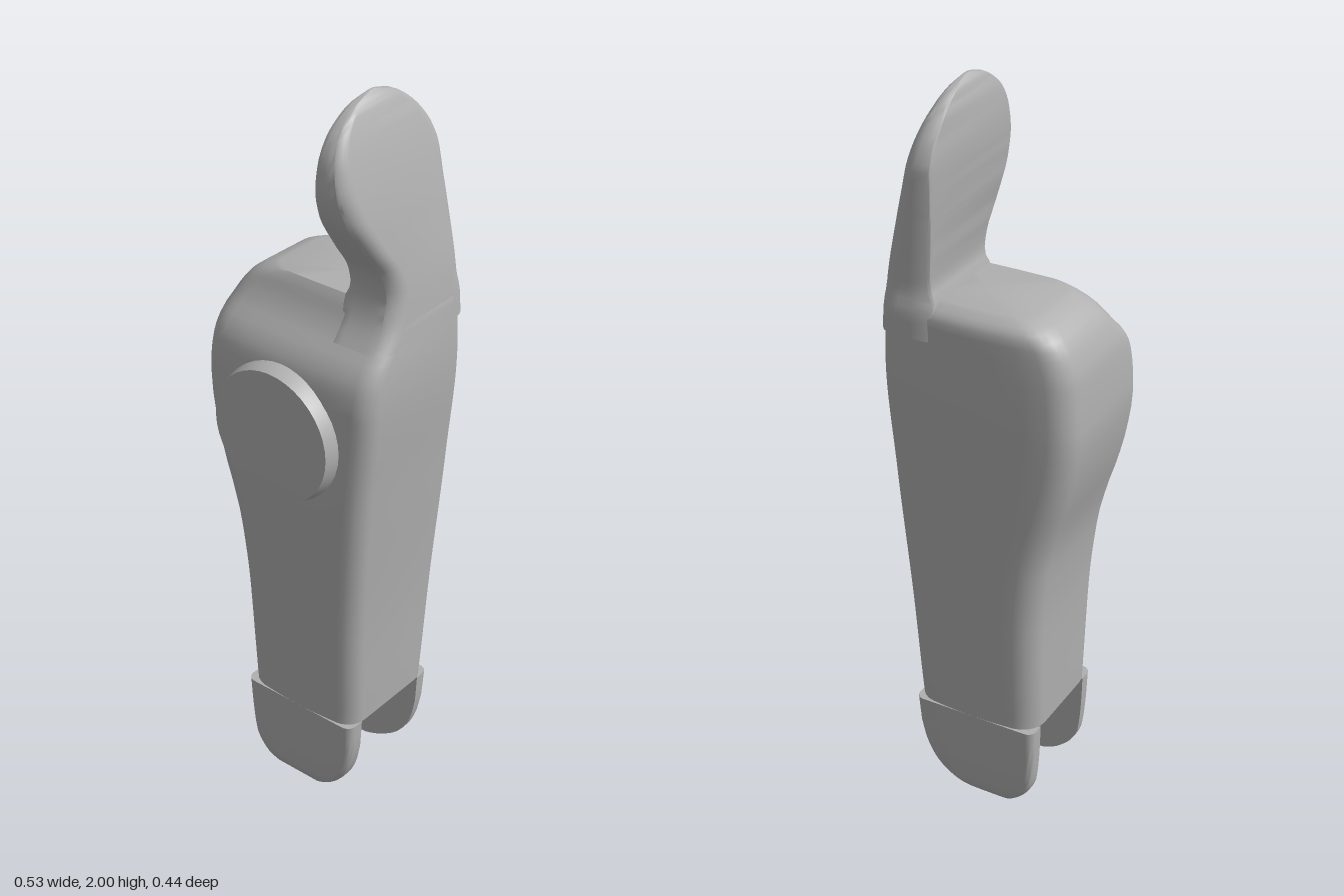
import * as THREE from 'three';
import { toCreasedNormals } from 'three/addons/utils/BufferGeometryUtils.js';

// Smooth interpolation through [y, value] pairs that never overshoots
function profile(p) {
  const slope = i => (p[i + 1][1] - p[i][1]) / (p[i + 1][0] - p[i][0]);
  const tangent = i => {
    if (i === 0) return slope(0);
    if (i === p.length - 1) return slope(i - 1);
    const a = slope(i - 1), b = slope(i);
    return a * b <= 0 ? 0 : 2 * a * b / (a + b);
  };
  return y => {
    let i = 0;
    while (i < p.length - 2 && y > p[i + 1][0]) i++;
    const h = p[i + 1][0] - p[i][0];
    const t = THREE.MathUtils.clamp((y - p[i][0]) / h, 0, 1), t2 = t * t, t3 = t2 * t;
    return p[i][1] * (2 * t3 - 3 * t2 + 1) + tangent(i) * h * (t3 - 2 * t2 + t)
      + p[i + 1][1] * (3 * t2 - 2 * t3) + tangent(i + 1) * h * (t3 - t2);
  };
}

// Outline of the whole shape as functions of height
const sideRight = profile([[0, -0.03], [0.01, -0.06], [0.03, -0.09], [0.06, -0.12], [0.1, -0.14],
  [0.2, -0.15], [0.6, -0.16], [0.8, -0.178], [0.9, -0.2], [1, -0.23], [1.1, -0.253], [1.2, -0.265],
  [1.35, -0.258], [1.42, -0.24], [1.46, -0.215], [1.49, -0.17], [1.5, -0.14]]);
const sideLeft = profile([[0, 0.03], [0.01, 0.06], [0.03, 0.1], [0.06, 0.14], [0.1, 0.17],
  [0.15, 0.19], [0.2, 0.2], [0.6, 0.217], [1, 0.245], [1.3, 0.265], [1.5, 0.255], [1.7, 0.22],
  [1.85, 0.183], [1.95, 0.152], [1.985, 0.138], [2, 0.128]]);
const front = profile([[0, 0.115], [0.02, 0.135], [0.05, 0.146], [0.2, 0.157], [0.6, 0.178],
  [1, 0.19], [1.25, 0.188], [1.32, 0.177], [1.37, 0.15], [1.41, 0.112], [1.47, 0.075], [1.53, 0.06],
  [1.58, 0.07], [1.65, 0.115], [1.75, 0.172], [1.81, 0.184], [1.87, 0.175], [1.92, 0.15],
  [1.96, 0.108], [1.985, 0.065], [2, 0.012]]);
const back = profile([[0, -0.135], [0.02, -0.152], [0.05, -0.16], [0.2, -0.172], [0.6, -0.2],
  [1, -0.217], [1.3, -0.222], [1.46, -0.22], [1.52, -0.208], [1.82, -0.203], [1.87, -0.188],
  [1.92, -0.155], [1.96, -0.11], [1.985, -0.065], [2, -0.012]]);
const finInner = profile([[1.3, 0.1], [1.5, 0.1], [1.53, 0.112], [1.75, 0.106], [1.93, 0.107],
  [1.98, 0.112], [2, 0.122]]);

// Corner radii run: front left, back left, back right, front right
function ring(y, x0, x1, z0, z1, radii, bulge) {
  const pts = [];
  const corners = [[x1, z1, -1, -1], [x1, z0, -1, 1], [x0, z0, 1, 1], [x0, z1, 1, -1]];
  const steps = 5;
  corners.forEach(([cx, cz, sx, sz], k) => {
    const r = Math.min(radii[k], (x1 - x0) * 0.49, (z1 - z0) * 0.49);
    for (let j = 0; j <= steps; j++) {
      const a = Math.PI / 2 * (1 - k) - Math.PI / 2 * j / steps;
      pts.push([cx + sx * r + r * Math.cos(a), cz + sz * r + r * Math.sin(a)]);
    }
    // Extra points along the broad back and front let them bow outwards
    if (k === 1 || k === 3) {
      for (let j = 1; j < 6; j++) {
        const t = k === 1 ? 1 - j / 6 : j / 6;
        pts.push([THREE.MathUtils.lerp(x0 + r, x1 - r, t), cz]);
      }
    }
  });
  return pts.map(([x, z]) => {
    const u = (2 * x - x0 - x1) / (x1 - x0);
    return [x, y, z * (1 - bulge * u * u)];
  });
}

// Capped loft through closed rings ordered from bottom to top
function loft(rings) {
  const n = rings[0].length, pos = rings.flat(2), index = [];
  for (let r = 0; r < rings.length - 1; r++) {
    for (let i = 0; i < n; i++) {
      const a = r * n + i, b = r * n + (i + 1) % n;
      index.push(a, b, b + n, a, b + n, a + n);
    }
  }
  [rings[0], rings[rings.length - 1]].forEach((cap, top) => {
    const c = pos.length / 3, base = top ? (rings.length - 1) * n : 0;
    for (let k = 0; k < 3; k++) pos.push(cap.reduce((s, p) => s + p[k], 0) / n);
    for (let i = 0; i < n; i++) {
      const a = base + i, b = base + (i + 1) % n;
      index.push(c, top ? a : b, top ? b : a);
    }
  });
  const g = new THREE.BufferGeometry();
  g.setAttribute('position', new THREE.Float32BufferAttribute(pos, 3));
  g.setIndex(index);
  return toCreasedNormals(g, 0.75);
}

// Evenly spaced heights
const heights = (a, b, n) => Array.from({ length: n + 1 }, (_, i) => a + (b - a) * i / n);

export function createModel() {
  const group = new THREE.Group();
  const grey = new THREE.MeshStandardMaterial({ color: 0xb0b0b0 });
  grey.name = 'plain grey';
  const add = (name, geometry) => {
    const mesh = new THREE.Mesh(geometry, grey);
    mesh.name = name;
    group.add(mesh);
    return mesh;
  };
  const slotTop = 0.285, slotFront = 0.11, slotBack = -0.13;

  // Main body, with its upper edge rounded over
  const bodyRows = [...heights(slotTop, 1.2, 20), ...heights(1.22, 1.46, 12), 1.475, 1.485, 1.495, 1.5];
  add('body', loft(bodyRows.map(y => {
    const inset = 0.03 * Math.max(0, (y - 1.46) / 0.04) ** 2;
    return ring(y, sideRight(y), sideLeft(y) - inset, back(y) + inset, front(y) - inset * 0.3,
      [0.05, 0.05, 0.06, 0.06], 0.08);
  })));

  // Upright fin with a round head and narrow neck
  const finRows = [...heights(1.4, 1.9, 25), ...heights(1.915, 1.985, 6), 1.993, 2];
  add('fin', loft(finRows.map(y =>
    ring(y, finInner(y), sideLeft(y), back(y), front(y), [0.05, 0.05, 0.008, 0.008], 0.02))));

  // Two fork prongs with flat inner faces
  const prongRows = [0, 0.004, 0.01, 0.02, 0.03, 0.045, 0.06, 0.08, 0.1, 0.125, 0.15, 0.2, 0.24, slotTop];
  add('frontProng', loft(prongRows.map(y => ring(y, sideRight(y), sideLeft(y),
    slotFront, front(y), [0.035, 0, 0, 0.035], 0))));
  add('backProng', loft(prongRows.map(y => ring(y, sideRight(y), sideLeft(y),
    back(y), slotBack, [0, 0.035, 0.035, 0], 0))));

  // Curved hinge wall between the prongs, open on its inner side
  const hinge = new THREE.CylinderGeometry(0.09, 0.09, slotFront - slotBack, 16, 1, true, Math.PI + 0.5, Math.PI - 0.5);
  hinge.rotateX(Math.PI / 2);
  add('hingeWall', hinge).position.set(0.03, 0.195, (slotFront + slotBack) / 2);

  // Round button with a slightly tapered rim
  const button = new THREE.LatheGeometry([[0, 0], [0.184, 0], [0.184, 0.045], [0.176, 0.073], [0, 0.075]]
    .map(([r, h]) => new THREE.Vector2(r, h)), 40);
  button.rotateX(Math.PI / 2);
  add('button', toCreasedNormals(button, 0.5)).position.set(-0.003, 1.14, 0.148);

  return group;
}
